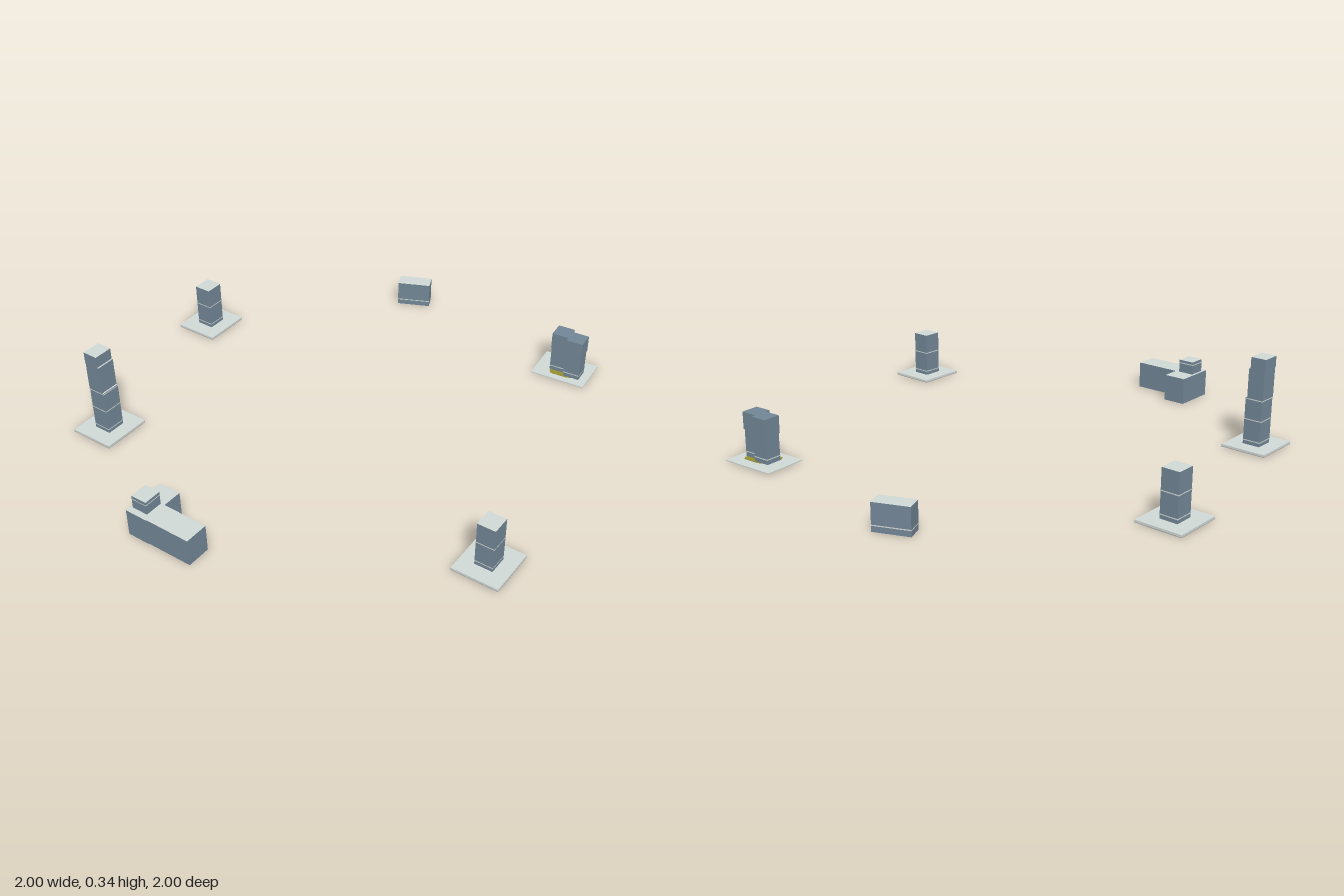
import * as THREE from 'three';

export function createModel() {
  const model = new THREE.Group();
  const mat = (name, color) => {
    const m = new THREE.MeshStandardMaterial({ color, side: THREE.DoubleSide });
    m.name = name;
    return m;
  };
  const wall = mat('slate wall', 0x728696);
  const pale = mat('pale concrete', 0xd0d9d6);
  const under = mat('grey underside', 0xa3a5a5);
  const olive = mat('olive base', 0x968f2c);

  // Box standing on height y; a null top or bottom leaves that face open
  function block(parent, name, [w, h, d], [x, y, z], side, top, bottom) {
    const faces = [side, side, top, bottom, side, side];
    const geo = new THREE.BoxGeometry(w, h, d);
    const source = Array.from(geo.index.array);
    const index = [];
    geo.clearGroups();
    faces.forEach((m, i) => {
      if (!m) return;
      geo.addGroup(index.length, 6, i);
      index.push(...source.slice(i * 6, i * 6 + 6));
    });
    geo.setIndex(index);
    const mesh = new THREE.Mesh(geo, faces.map((m) => m || side));
    mesh.name = name;
    mesh.position.set(x, y + h / 2, z);
    parent.add(mesh);
  }
  // Thin pale line around a wall
  const band = (parent, w, d, [x, y, z]) =>
    block(parent, 'floorBand', [w + 0.002, 0.004, d + 0.002], [x, y, z], pale, null, null);

  function site(name, x, z, degrees) {
    const g = new THREE.Group();
    g.name = name;
    g.position.set(x, 0, z);
    g.rotation.y = THREE.MathUtils.degToRad(degrees);
    model.add(g);
    return g;
  }
  const outline = (points) => points.map(([x, y]) => new THREE.Vector2(x, y));
  const rectangle = (w, d) => outline([[-w / 2, -d / 2], [w / 2, -d / 2], [w / 2, d / 2], [-w / 2, d / 2]]);

  // Flat slab lying on height y, cut from a plan shape
  function slab(parent, name, shape, y, height, material) {
    const mesh = new THREE.Mesh(new THREE.ExtrudeGeometry(shape, { depth: height, bevelEnabled: false }), material);
    mesh.name = name;
    mesh.rotation.x = -Math.PI / 2;
    mesh.position.y = y;
    parent.add(mesh);
  }

  // Three square towers, open below, each rising through a plot
  const W = 0.073, D = 0.068;
  const towers = [
    ['backTower', -0.295, -0.875, [0.186], [0.025, 0.106]],
    ['tallTower', -0.878, -0.361, [0.19, 0.11, 0.044], [0.025, 0.106, 0.184]],
    ['frontTower', 0.038, 0.874, [0.186], [0.025, 0.106]],
  ];
  for (const [name, x, z, storeys, bands] of towers) {
    const g = site(name, x, z, 30);
    const plan = new THREE.Shape(rectangle(0.191, 0.177));
    plan.holes.push(new THREE.Path(rectangle(W, D)));
    slab(g, 'plotPaving', plan, 0.003, 0.008, pale);
    slab(g, 'plotUnderside', plan, 0.001, 0.002, under);
    // Each storey steps slightly back from the one below
    let y = 0;
    storeys.forEach((h, i) => {
      block(g, 'towerStorey', [W, h, D - 0.004 * i], [0, y, -0.004 * i], wall, pale, null);
      y += h;
    });
    for (const height of bands) band(g, W, D, [0, height, 0]);
  }

  // L-shaped block with a rooftop room
  const corner = site('cornerBlock', -0.886, 0.231, 30);
  block(corner, 'shortWing', [0.166, 0.105, 0.088], [0, 0, 0], wall, pale, null);
  block(corner, 'longWing', [0.09, 0.105, 0.178], [-0.036, 0, 0.133], wall, pale, null);
  block(corner, 'rooftopRoom', [0.067, 0.051, 0.063], [-0.026, 0.105, -0.003], wall, pale, null);
  band(corner, 0.067, 0.063, [-0.026, 0.142, -0.003]);

  // Plain low hall
  const hall = site('lowHall', 0.561, -0.665, -36);
  block(hall, 'hall', [0.134, 0.101, 0.061], [0, 0, 0], wall, pale, null);
  band(hall, 0.134, 0.061, [0, 0.021, 0]);

  // Twin block: staggered overhanging halves above an olive base
  const twin = site('twinBlock', 0.863, 0.053, 35);
  block(twin, 'plot', [0.164, 0.004, 0.218], [0, 0.002, 0], pale, pale, under);
  const building = new THREE.Group();
  building.name = 'staggeredHalves';
  building.position.set(-0.008, 0, 0.012);
  twin.add(building);
  const baseShape = new THREE.Shape(outline([
    [-0.045, -0.05], [-0.03, -0.06], [0.03, -0.06], [0.045, -0.015],
    [0.045, 0.05], [0.03, 0.06], [-0.03, 0.06], [-0.045, 0.015],
  ].map(([x, z]) => [x, -z]).reverse()));
  slab(building, 'oliveBase', baseShape, 0.0005, 0.007, olive);
  for (const k of [-1, 1]) {
    const x = -0.009 * k, z = 0.033 * k;
    block(building, 'lowerHalf', [0.061, 0.104, 0.064], [x, 0.0076, z - 0.001 * k], wall, wall, wall);
    block(building, 'upperHalf', [0.067, 0.066, 0.066], [x, 0.11, z], wall, wall, wall);
    band(building, 0.061, 0.064, [x, 0.024, z - 0.001 * k]);
  }
  return model;
}
